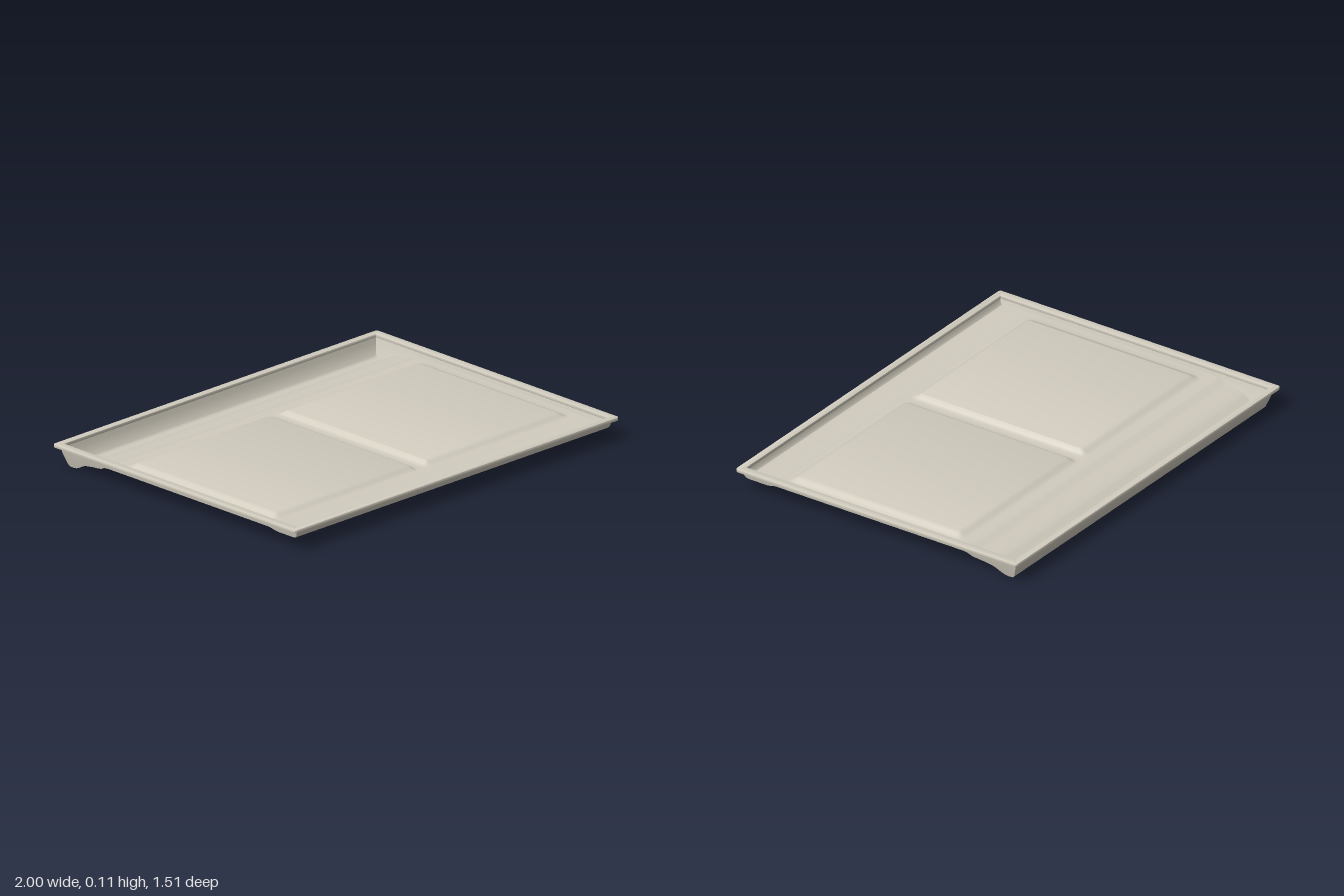
import * as THREE from 'three';
import { toCreasedNormals } from 'three/addons/utils/BufferGeometryUtils.js';

const clamp = THREE.MathUtils.clamp;
const ramp = THREE.MathUtils.smoothstep;

// Underside height along the tray, front to back: [z, y]
const PROFILE = [
  [0.735, 0.092], [0.73, 0.066], [0.722, 0.056], [0.705, 0.053], [0.61, 0.053],
  [0.59, 0.056], [0.57, 0.063], [0.55, 0.064], [-0.45, 0.064], [-0.47, 0.06], [-0.49, 0.05],
  [-0.51, 0.046], [-0.55, 0.042], [-0.595, 0.034], [-0.615, 0.026], [-0.64, 0.011],
  [-0.66, 0.003], [-0.68, 0], [-0.7, 0.002], [-0.709, 0.01], [-0.727, 0.06], [-0.735, 0.092],
];

// Raised panels: start and end of each sloping edge
const EDGE_X = [[0.02, 0.055], [0.865, 0.915]];
const EDGE_Z = [[-0.405, -0.355], [0.505, 0.55]];
const PANEL_RISE = 0.019;

const steps = ([a, b]) => [0, 0.2, 0.4, 0.6, 0.8, 1].map((t) => a + (b - a) * t);

function profileY(z) {
  for (let i = 1; i < PROFILE.length; i++) {
    const [z0, y0] = PROFILE[i - 1], [z1, y1] = PROFILE[i];
    if (z >= z1) return y0 + (y1 - y0) * (z0 - z) / (z0 - z1);
  }
  return PROFILE[PROFILE.length - 1][1];
}

function panelY(x, z) {
  const ax = Math.abs(x);
  const inX = ramp(ax, ...EDGE_X[0]) * (1 - ramp(ax, ...EDGE_X[1]));
  const inZ = ramp(z, ...EDGE_Z[0]) * (1 - ramp(z, ...EDGE_Z[1]));
  return PANEL_RISE * inX * inZ;
}

// Half width of the tray at a given height: the deep trough tapers inwards
const halfWidth = (y) => 0.967 + (y > 0.063 ? (y - 0.063) * 0.2 : -clamp((0.063 - y) / 0.063, 0, 1) * 0.02);

// One skin of the pan: side wall, floor with panels, side wall
function panSkin(lift, inset, top, upward) {
  const rows = [...new Set([...PROFILE.map((p) => p[0]), ...EDGE_Z.flatMap(steps)])].sort((a, b) => b - a);
  const half = EDGE_X.flatMap(steps);
  const cols = [...half.map((x) => -x).reverse(), 0, ...half];
  const pos = [], index = [];
  const n = cols.length + 6;
  rows.forEach((z, r) => {
    const end = r === 0 || r === rows.length - 1;
    const y = end ? top : profileY(z) + lift;
    const zz = z * (1 - inset / 0.735);
    const w = halfWidth(y - lift) - inset;
    const midY = Math.max(y, 0.064 + lift);
    const wall = [[halfWidth(top - lift) - inset, top], [halfWidth(midY - lift) - inset, midY], [w, y]];
    const line = [
      ...wall.map(([x, h]) => [-x, h]),
      ...cols.map((x) => [x, y + panelY(x, z)]),
      ...wall.reverse(),
    ];
    line.forEach(([x, h]) => pos.push(x, h, zz));
  });
  for (let r = 0; r < rows.length - 1; r++) {
    for (let c = 0; c < n - 1; c++) {
      const a = r * n + c, b = a + 1, d = a + n, e = d + 1;
      if (upward) index.push(a, b, e, a, e, d);
      else index.push(a, e, b, a, d, e);
    }
  }
  const geo = new THREE.BufferGeometry();
  geo.setAttribute('position', new THREE.Float32BufferAttribute(pos, 3));
  geo.setIndex(index);
  return toCreasedNormals(geo, 0.65);
}

// Rounded rectangle, used for the rim and its opening
function roundedRect(path, hx, hz, r) {
  path.moveTo(-hx + r, -hz);
  path.lineTo(hx - r, -hz);
  path.quadraticCurveTo(hx, -hz, hx, -hz + r);
  path.lineTo(hx, hz - r);
  path.quadraticCurveTo(hx, hz, hx - r, hz);
  path.lineTo(-hx + r, hz);
  path.quadraticCurveTo(-hx, hz, -hx, hz - r);
  path.lineTo(-hx, -hz + r);
  path.quadraticCurveTo(-hx, -hz, -hx + r, -hz);
  return path;
}

export function createModel() {
  const group = new THREE.Group();
  group.name = 'tray';
  const beige = new THREE.MeshStandardMaterial({ color: 0xd2cdbf, side: THREE.DoubleSide });
  beige.name = 'warm beige';

  const add = (name, geo) => {
    const mesh = new THREE.Mesh(geo, beige);
    mesh.name = name;
    group.add(mesh);
    return mesh;
  };

  add('trayInside', panSkin(0.008, 0.009, 0.104, true));
  add('trayUnderside', panSkin(0, 0, 0.092, false));

  // Flat flange around the opening
  const shape = roundedRect(new THREE.Shape(), 0.997, 0.753, 0.012);
  shape.holes.push(roundedRect(new THREE.Path(), 0.963, 0.725, 0.004));
  const rim = new THREE.ExtrudeGeometry(shape, {
    depth: 0.01, bevelEnabled: true, bevelSize: 0.003, bevelThickness: 0.003, bevelSegments: 2, curveSegments: 4,
  });
  rim.rotateX(-Math.PI / 2);
  rim.translate(0, 0.093, 0);
  add('rim', toCreasedNormals(rim, 0.65));

  return group;
}
